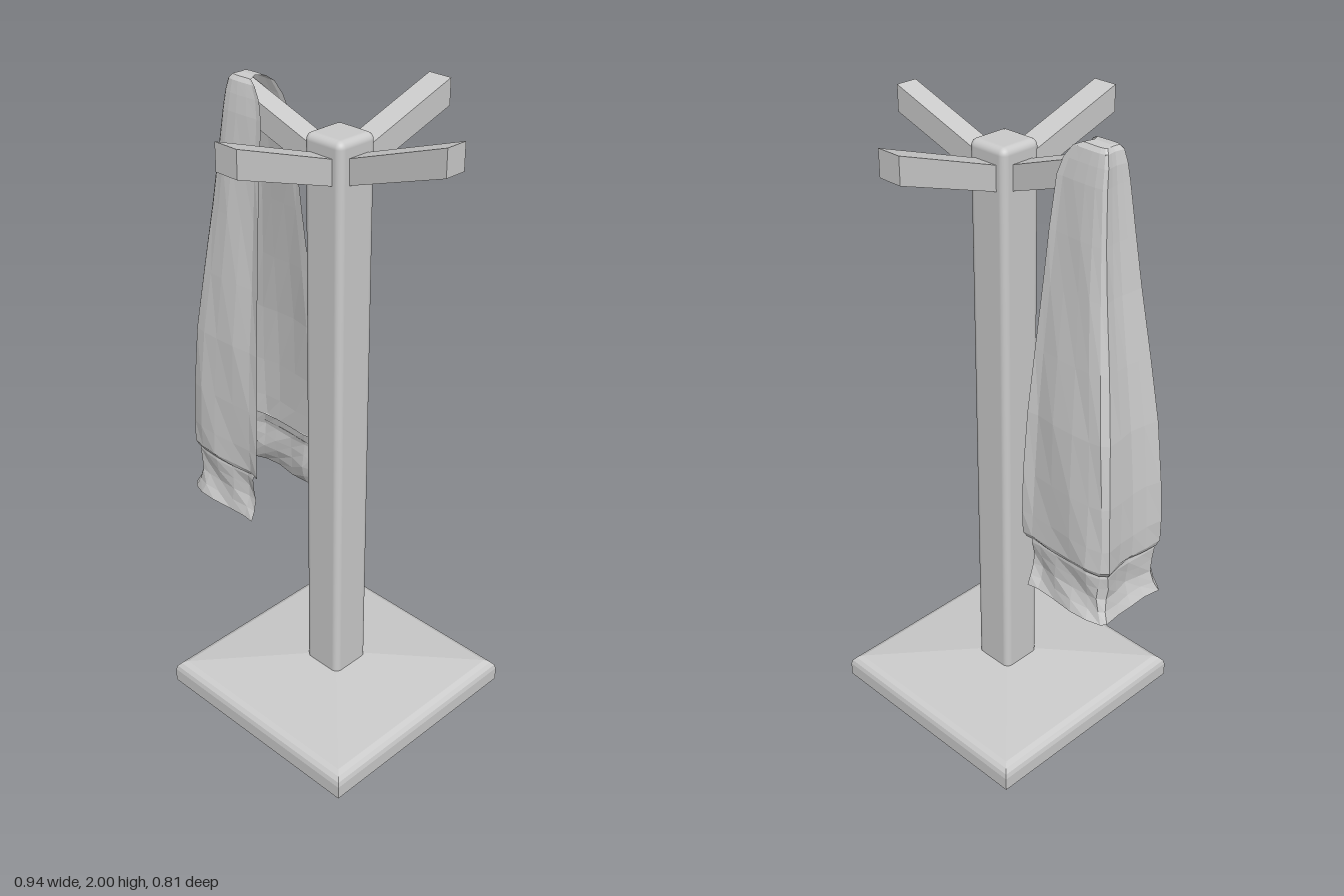
import * as THREE from 'three';
import { RoundedBoxGeometry } from 'three/addons/geometries/RoundedBoxGeometry.js';

const CX = 0.07; // centre line of the stand
const smooth = new THREE.MeshStandardMaterial({ color: 0xcccccc });
const flat = new THREE.MeshStandardMaterial({ color: 0xcccccc, flatShading: true });
const cloth = new THREE.MeshStandardMaterial({ color: 0xcccccc, flatShading: true, side: THREE.DoubleSide });

function add(parent, name, geometry, material) {
  const mesh = new THREE.Mesh(geometry, material);
  mesh.name = name;
  parent.add(mesh);
  return mesh;
}

// Square base: half-width and height profile turned in four steps
function baseGeometry() {
  const profile = [[0, 0], [0.38, 0], [0.38, 0.045], [0.376, 0.06], [0.366, 0.072], [0.35, 0.08], [0.07, 0.113], [0, 0.113]];
  return new THREE.LatheGeometry(profile.map(([r, y]) => new THREE.Vector2(r * Math.SQRT2, y)), 4, Math.PI / 4);
}

// Slanted arm with an upright end face
function armGeometry(reach, width) {
  const s = new THREE.Shape();
  s.moveTo(0, 1.772);
  s.lineTo(reach, 1.905);
  s.lineTo(reach, 1.985);
  s.lineTo(0, 1.847);
  s.closePath();
  return new THREE.ExtrudeGeometry(s, { depth: width, bevelEnabled: false }).translate(0, 0, -width / 2);
}

// Draped cloth: a U-shaped section, open towards the post, swept down the rows
// Each row: height, outer x, open-edge x, half depth, fold strength
function clothGeometry(rows) {
  const half = [[0, 1], [0.12, 0.96], [0.35, 1], [0.6, 1.02], [0.8, 1], [0.94, 0.93], [1, 0.8], [0.975, 0.4], [0.96, 0]];
  const section = [...half, ...half.slice(0, -1).reverse().map(([s, z]) => [s, -z])];
  const n = section.length, pos = [], index = [];
  rows.forEach(([y, xo, xi, d, fold], r) => {
    section.forEach(([s, z], i) => {
      const wave = fold * Math.sin(i * 2.1 + r * 1.3);
      pos.push(xi + (xo - xi) * s + wave * 0.6 * s, y + wave * 0.5, z * (d + wave));
      if (r && i) {
        const a = (r - 1) * n + i - 1, b = r * n + i - 1;
        index.push(a, a + 1, b, b, a + 1, b + 1);
      }
    });
  });
  const g = new THREE.BufferGeometry();
  g.setAttribute('position', new THREE.Float32BufferAttribute(pos, 3));
  g.setIndex(index);
  g.computeVertexNormals();
  return g;
}

export function createModel() {
  const model = new THREE.Group();
  model.name = 'coatStand';

  const stand = new THREE.Group();
  stand.name = 'stand';
  stand.position.x = CX;
  model.add(stand);

  add(stand, 'base', baseGeometry(), flat);
  add(stand, 'post', new RoundedBoxGeometry(0.14, 1.84, 0.14, 3, 0.022).translate(0, 1.0, 0), smooth);

  // Four arms around the post
  for (let i = 0; i < 4; i++) {
    const alongZ = i % 2 === 1;
    const arm = add(stand, 'arm' + (i + 1), armGeometry(alongZ ? 0.405 : 0.4, alongZ ? 0.08 : 0.07), flat);
    arm.rotation.y = i * Math.PI / 2;
  }

  // Garment hung over the right arm
  const garment = new THREE.Group();
  garment.name = 'garment';
  model.add(garment);
  add(garment, 'drape', clothGeometry([
    [2.0, -0.315, -0.26, 0, 0],
    [1.997, -0.325, -0.245, 0.028, 0],
    [1.985, -0.335, -0.22, 0.038, 0],
    [1.95, -0.343, -0.195, 0.046, 0],
    [1.9, -0.348, -0.18, 0.055, 0],
    [1.75, -0.364, -0.172, 0.072, 0.001],
    [1.6, -0.382, -0.165, 0.087, 0.002],
    [1.4, -0.412, -0.155, 0.107, 0.002],
    [1.2, -0.44, -0.147, 0.126, 0.003],
    [1.0, -0.458, -0.142, 0.136, 0.003],
    [0.86, -0.465, -0.141, 0.14, 0.003],
    [0.785, -0.464, -0.141, 0.141, 0.004],
    [0.768, -0.455, -0.15, 0.133, 0.003],
    [0.775, -0.445, -0.165, 0.124, 0]
  ]), cloth);
  // Under-layer showing below the hem
  add(garment, 'lowerHem', clothGeometry([
    [0.8, -0.445, -0.165, 0.124, 0],
    [0.755, -0.452, -0.17, 0.13, 0.003],
    [0.715, -0.448, -0.172, 0.126, 0.005],
    [0.675, -0.445, -0.172, 0.125, 0.005],
    [0.635, -0.455, -0.172, 0.133, 0.004],
    [0.602, -0.47, -0.17, 0.144, 0.004]
  ]), cloth);

  return model;
}
